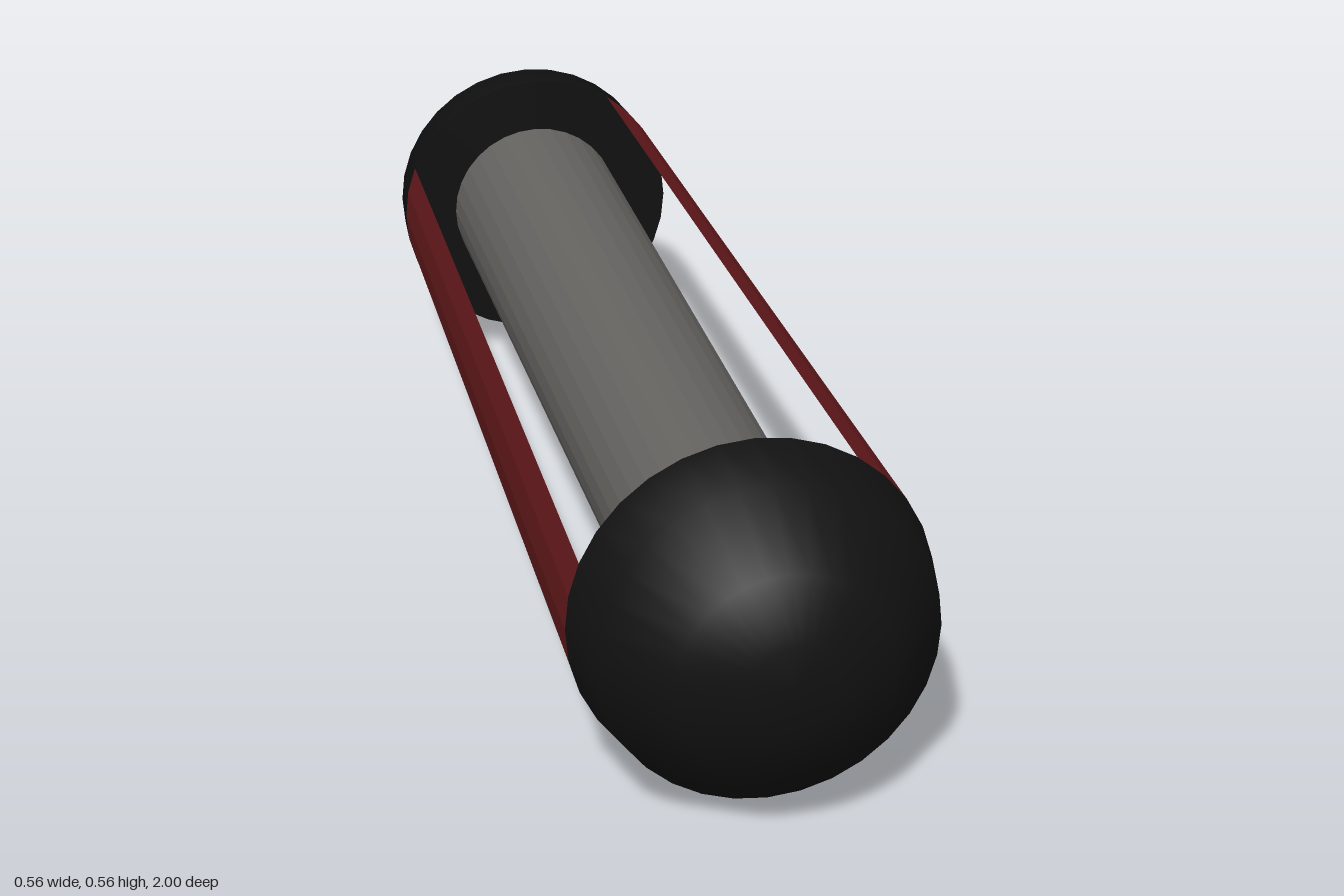
import * as THREE from 'three';
import { toCreasedNormals } from 'three/addons/utils/BufferGeometryUtils.js';

const SIDES = 32;
const STEP = (Math.PI * 2) / SIDES;
const R_FRONT = 0.278, R_BACK = 0.238;
const Z_FRONT = 0.755, Z_BACK = -0.813;
const LENGTH = Z_FRONT - Z_BACK;

const black = new THREE.MeshStandardMaterial({ color: 0x111111 });
const grey = new THREE.MeshStandardMaterial({ color: 0x666461, flatShading: true });
const red = new THREE.MeshStandardMaterial({ color: 0x661a1c, flatShading: true, side: THREE.DoubleSide });

export function createModel() {
  const model = new THREE.Group();
  model.name = 'cappedRod';

  // Turns a y-axis solid so its top faces +z, and lifts it onto the ground
  const add = (name, geometry, material, z = 0) => {
    const mesh = new THREE.Mesh(geometry.rotateX(Math.PI / 2), material);
    mesh.name = name;
    mesh.position.set(0, R_FRONT, z);
    model.add(mesh);
  };

  // Rounded end caps: [radius, distance along the axis]
  const cap = (name, profile) => {
    const lathe = new THREE.LatheGeometry(profile.map(([r, y]) => new THREE.Vector2(r, y)), SIDES);
    add(name, toCreasedNormals(lathe, 0.75), black);
  };
  cap('frontCap', [[0, Z_FRONT], [R_FRONT, Z_FRONT], [0.257, 0.86], [0.164, 0.963], [0.07, 1], [0, 1]]);
  cap('backCap', [[0, -1], [0.105, -1], [0.178, -0.963], [0.231, -0.895], [R_BACK, Z_BACK], [0, Z_BACK]]);

  // Central rod
  const middle = (Z_FRONT + Z_BACK) / 2;
  add('rod', new THREE.CylinderGeometry(0.147, 0.147, LENGTH, SIDES, 1, true), grey, middle);

  // Three thin strips, each three facets wide, tapering towards the back
  const strips = { upperLeftStrip: 2, rightStrip: 14, lowerLeftStrip: 25 };
  for (const [name, facet] of Object.entries(strips)) {
    const start = Math.PI / 2 + facet * STEP;
    add(name, new THREE.CylinderGeometry(R_FRONT, R_BACK, LENGTH, 3, 1, true, start, 3 * STEP), red, middle);
  }
  return model;
}
